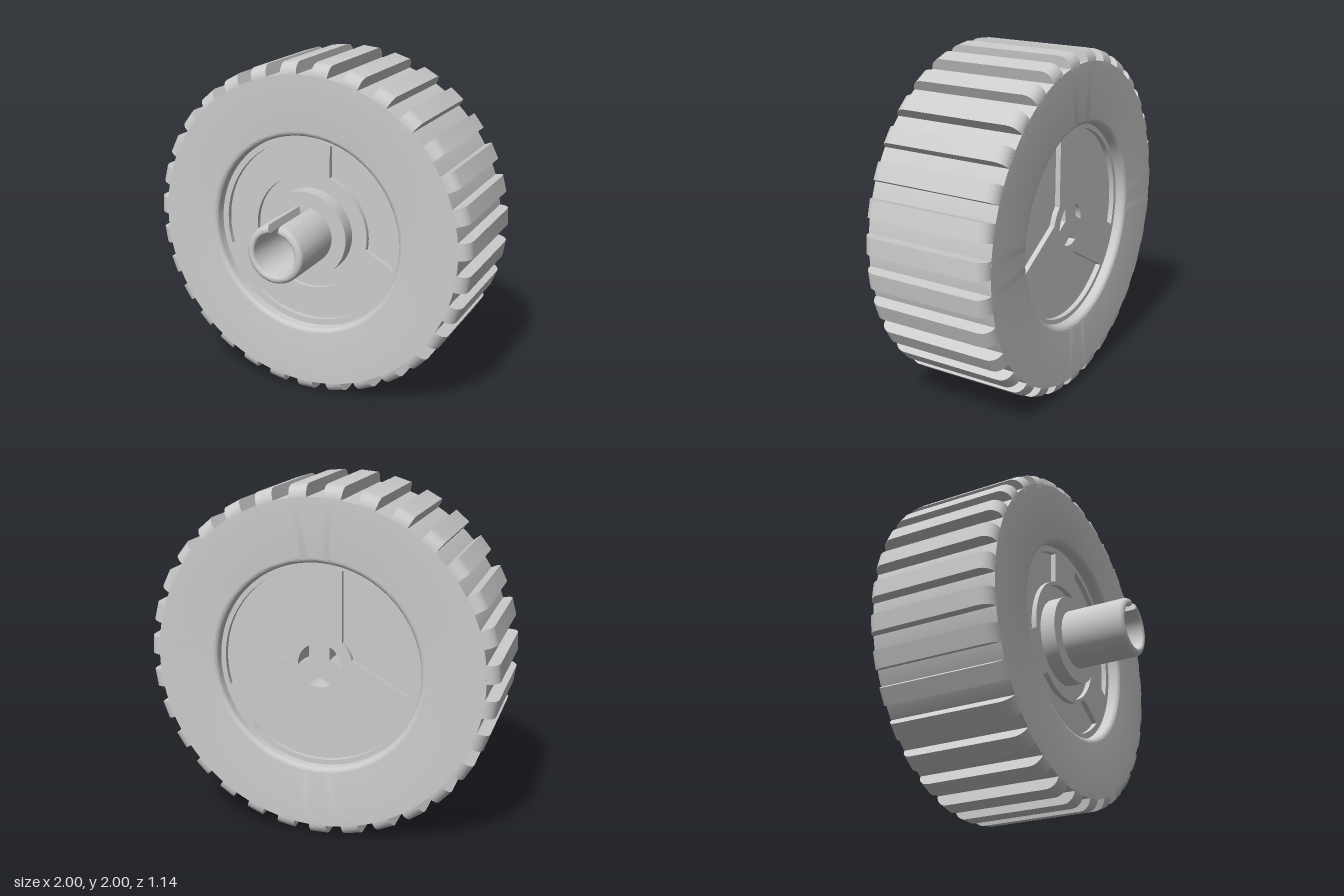
import * as THREE from 'three';
import { toCreasedNormals } from 'three/addons/utils/BufferGeometryUtils.js';

const grey = new THREE.MeshStandardMaterial({ color: 0xcccccc });
const greyDouble = new THREE.MeshStandardMaterial({ color: 0xcccccc, side: THREE.DoubleSide });
const FRONT = 0.2, BACK = -0.57, BORE = 0.125, THIRD = Math.PI * 2 / 3;

function part(name, geometry, material = grey) {
  const mesh = new THREE.Mesh(toCreasedNormals(geometry, 0.6), material);
  mesh.name = name;
  return mesh;
}

// Revolves a closed [radius, z] profile around the z axis.
function revolve(profile, segments, start = 0, length = Math.PI * 2) {
  const points = [...profile, profile[0]].map(([r, z]) => new THREE.Vector2(r, z));
  return new THREE.LatheGeometry(points, segments, start, length).rotateX(Math.PI / 2);
}

// Quarter-round corner as [radius, z] points.
function corner(r, z, radius, from, steps = 6) {
  return Array.from({ length: steps + 1 }, (_, i) => {
    const a = from + (i / steps) * Math.PI / 2;
    return [r + radius * Math.cos(a), z + radius * Math.sin(a)];
  });
}

function circle(radius, type = THREE.Path) {
  const pts = Array.from({ length: 72 }, (_, i) => {
    const a = i / 72 * Math.PI * 2;
    return new THREE.Vector2(radius * Math.cos(a), radius * Math.sin(a));
  });
  return new type(pts);
}

// Three openings left between spokes of a given half-width.
function openings(rIn, rOut, halfWidth) {
  const apex = halfWidth / Math.sin(Math.PI / 3);
  const spread = r => Math.PI / 3 - Math.asin(halfWidth / r);
  return [0, 1, 2].map(k => {
    const mid = Math.PI / 6 + k * THIRD, pts = [];
    const add = (r, a) => pts.push(new THREE.Vector2(r * Math.cos(a), r * Math.sin(a)));
    for (let i = 0; i <= 24; i++) add(rOut, mid + spread(rOut) * (i / 12 - 1));
    if (rIn <= apex) add(apex, mid);
    else for (let i = 0; i <= 16; i++) add(rIn, mid - spread(rIn) * (i / 8 - 1));
    return new THREE.Path(pts);
  });
}

// Disc with holes between two z levels.
function plate(name, z0, z1, holes) {
  const shape = circle(0.59, THREE.Shape);
  shape.holes.push(...holes);
  const geometry = new THREE.ExtrudeGeometry(shape, { depth: z1 - z0, bevelEnabled: false });
  return part(name, geometry.translate(0, 0, z0));
}

export function createModel() {
  const wheel = new THREE.Group();
  wheel.name = 'wheel';

  // Tyre body with softened inner lips
  const lip = 0.03, inner = 0.583;
  wheel.add(part('tyre', revolve([
    [0.935, BACK], [0.935, FRONT],
    ...corner(inner + lip, FRONT - lip, lip, Math.PI / 2),
    ...corner(inner + lip, BACK + lip, lip, Math.PI),
  ], 124)));

  // Tread blocks, rounded over at both ends
  const round = 0.07;
  const block = new THREE.Shape([
    [0.9, BACK],
    ...corner(1 - round, BACK + round, round, -Math.PI / 2),
    ...corner(1 - round, FRONT - round, round, 0),
    [0.9, FRONT],
  ].map(([r, z]) => new THREE.Vector2(r, z)));
  const blockGeometry = new THREE.ExtrudeGeometry(block, { depth: 0.1, bevelEnabled: false });
  blockGeometry.translate(0, 0, -0.05).rotateX(Math.PI / 2);
  const treads = new THREE.Group();
  treads.name = 'treads';
  const COUNT = 31;
  for (let i = 0; i < COUNT; i++) {
    const tread = part('treadBlock', blockGeometry);
    tread.rotation.z = -Math.PI / 2 + i / COUNT * Math.PI * 2;
    treads.add(tread);
  }
  wheel.add(treads);

  // Hub: front spokes, core with bore, back web and back spokes
  const slots = () => openings(0, BORE, 0.06);
  wheel.add(
    plate('frontSpokes', 0.1, 0.13, [circle(0.345), ...openings(0.365, 0.547, 0.13)]),
    plate('hubCore', -0.4, 0.1, [circle(BORE)]),
    plate('backWeb', -0.48, -0.4, slots()),
    plate('backSpokes', -0.51, -0.48, [...slots(), ...openings(0.19, 0.555, 0.13)]),
  );

  // Raised collar around the axle
  wheel.add(part('collar', revolve([[0.26, 0.1], [0.26, 0.19], [BORE, 0.19], [BORE, 0.1]], 64)));

  // Hollow axle with a slot along its top
  const gap = 0.205, tip = 0.57;
  const tube = [
    [0.172, 0.15],
    ...corner(0.172 - 0.03, tip - 0.03, 0.03, 0),
    ...corner(BORE + 0.015, tip - 0.015, 0.015, Math.PI / 2),
    [BORE, 0.15],
  ];
  const axle = new THREE.Group();
  axle.name = 'axle';
  axle.add(part('axleTube', revolve(tube, 56, Math.PI + gap, Math.PI * 2 - 2 * gap), greyDouble));
  for (const side of [-1, 1]) {
    const wall = new THREE.ShapeGeometry(new THREE.Shape(tube.map(([r, z]) => new THREE.Vector2(r, z))));
    wall.rotateX(Math.PI / 2).rotateZ(Math.PI / 2 + side * gap);
    axle.add(part('slotWall', wall, greyDouble));
  }
  wheel.add(axle);

  wheel.position.y = 1;
  const model = new THREE.Group();
  model.name = 'model';
  model.add(wheel);
  return model;
}
